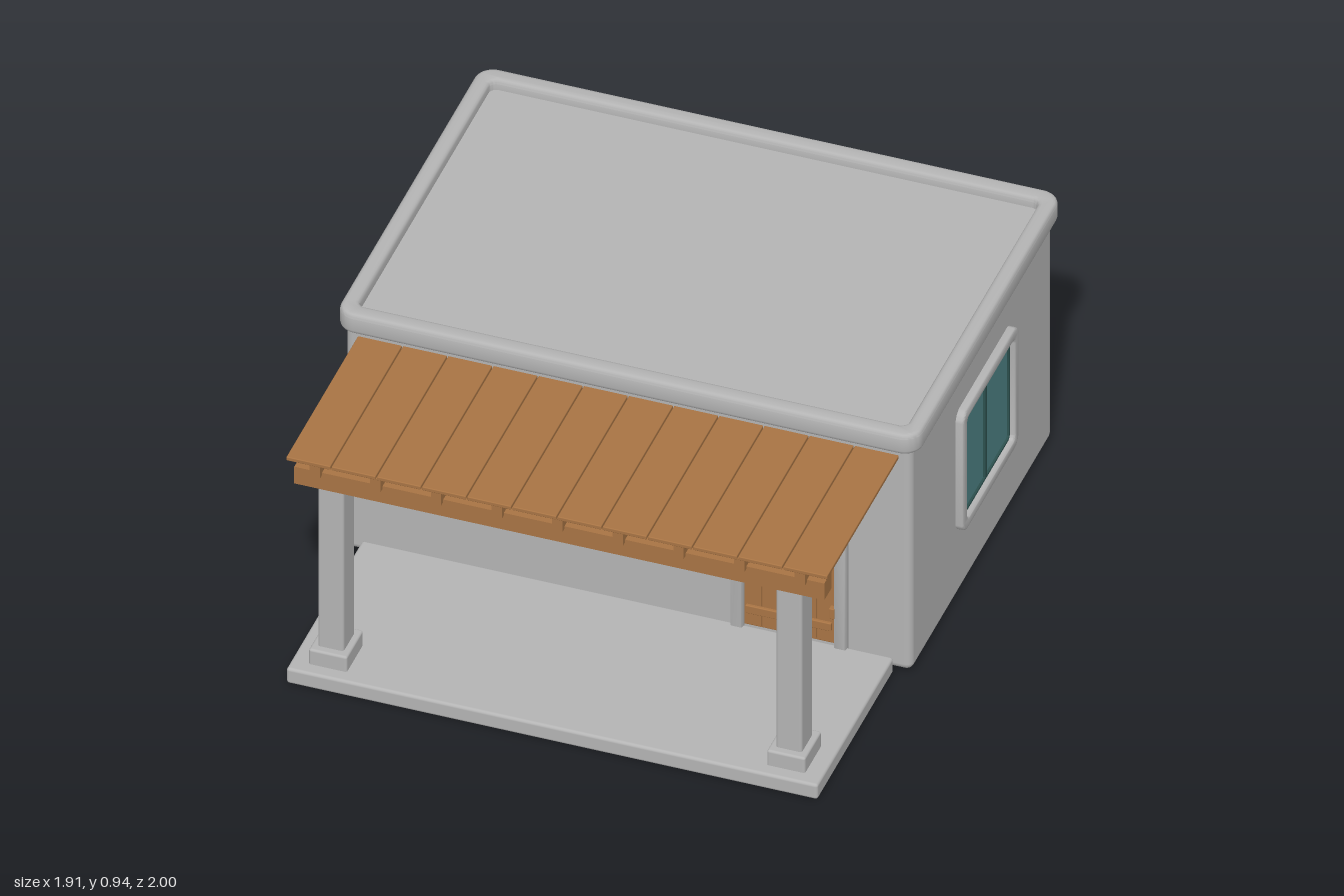
import * as THREE from 'three';
import { toCreasedNormals } from 'three/addons/utils/BufferGeometryUtils.js';
import { RoundedBoxGeometry } from 'three/addons/geometries/RoundedBoxGeometry.js';

const material = (name, color) => Object.assign(new THREE.MeshStandardMaterial({ color }), { name });

export function createModel() {
  const plaster = material('plaster', 0xb4b4b4);
  const wood = material('wood', 0xa87444);
  const glass = material('glass', 0x4e8285);
  const sash = material('window sash', 0x2c504e);
  const house = new THREE.Group();
  house.name = 'house';

  const add = (parent, name, geometry, mat) => {
    const mesh = new THREE.Mesh(geometry, mat);
    mesh.name = name;
    parent.add(mesh);
    return mesh;
  };
  // Box given by its extents on each axis, with an optional edge radius
  const box = (parent, name, mat, [x0, x1], [y0, y1], [z0, z1], r = 0) => {
    const size = [x1 - x0, y1 - y0, z1 - z0];
    const geometry = r ? new RoundedBoxGeometry(...size, 3, r) : new THREE.BoxGeometry(...size);
    const mesh = add(parent, name, geometry, mat);
    mesh.position.set((x0 + x1) / 2, (y0 + y1) / 2, (z0 + z1) / 2);
    return mesh;
  };
  const roundedRect = (path, w, h, r) => {
    const x = w / 2, y = h / 2;
    path.moveTo(-x + r, -y);
    path.lineTo(x - r, -y).absarc(x - r, -y + r, r, -Math.PI / 2, 0);
    path.lineTo(x, y - r).absarc(x - r, y - r, r, 0, Math.PI / 2);
    path.lineTo(-x + r, y).absarc(-x + r, y - r, r, Math.PI / 2, Math.PI);
    path.lineTo(-x, -y + r).absarc(-x + r, -y + r, r, Math.PI, Math.PI * 1.5);
    return path;
  };
  // Soft-edged rectangular ring, from z = 0 to z = depth
  const ring = (w, h, r, iw, ih, ir, depth, bevel) => {
    const shape = roundedRect(new THREE.Shape(), w, h, r);
    shape.holes.push(roundedRect(new THREE.Path(), iw, ih, ir));
    const geometry = new THREE.ExtrudeGeometry(shape, {
      depth: depth - 2 * bevel, bevelSize: bevel, bevelThickness: bevel,
      bevelOffset: -bevel, bevelSegments: 3, curveSegments: 5,
    });
    return toCreasedNormals(geometry.translate(0, 0, bevel), 0.7);
  };

  // Main building and flat roof with raised rim
  box(house, 'walls', plaster, [-0.93, 0.93], [0.01, 0.89], [-0.97, 0.305], 0.025);
  const rim = add(house, 'roofRim', ring(1.91, 1.33, 0.06, 1.8, 1.21, 0.025, 0.075, 0.015), plaster);
  rim.rotation.x = -Math.PI / 2;
  rim.position.set(0, 0.867, -0.335);
  box(house, 'roofDeck', plaster, [-0.91, 0.91], [0.875, 0.905], [-0.95, 0.275]);

  // Windows: frame, glass, sash border and centre mullion
  const frameGeometry = ring(0.505, 0.465, 0.04, 0.43, 0.39, 0.018, 0.045, 0.008);
  const sashGeometry = ring(0.436, 0.396, 0.02, 0.414, 0.374, 0.012, 0.01, 0.002);
  const addWindow = (name, x, z, turn) => {
    const group = new THREE.Group();
    group.name = name;
    group.position.set(x, 0.495, z);
    group.rotation.y = turn;
    add(group, 'windowFrame', frameGeometry, plaster).position.z = -0.018;
    box(group, 'pane', glass, [-0.215, 0.215], [-0.195, 0.195], [-0.002, 0.003]);
    add(group, 'sashBorder', sashGeometry, sash);
    box(group, 'mullion', sash, [-0.008, 0.008], [-0.19, 0.19], [0, 0.01]);
    house.add(group);
  };
  addWindow('frontWindow', -0.362, 0.305, 0);
  for (const side of [-1, 1]) {
    addWindow('sideWindow', side * 0.93, -0.345, side * Math.PI / 2);
    addWindow('backWindow', side * 0.475, -0.97, Math.PI);
  }

  // Door surround, open at the bottom
  const door = new THREE.Group();
  door.name = 'door';
  house.add(door);
  const arch = new THREE.Shape();
  arch.moveTo(0.342, 0.05);
  arch.lineTo(0.382, 0.05).lineTo(0.382, 0.667).lineTo(0.682, 0.667).lineTo(0.682, 0.05).lineTo(0.722, 0.05);
  arch.lineTo(0.722, 0.67).absarc(0.692, 0.672, 0.03, 0, Math.PI / 2);
  arch.lineTo(0.372, 0.702).absarc(0.372, 0.672, 0.03, Math.PI / 2, Math.PI);
  const surround = new THREE.ExtrudeGeometry(arch, {
    depth: 0.025, bevelSize: 0.006, bevelThickness: 0.006, bevelOffset: -0.006, bevelSegments: 2, curveSegments: 5,
  });
  add(door, 'doorSurround', toCreasedNormals(surround, 0.7), plaster).position.z = 0.298;

  // Plank door with batten, handle and hinges
  box(door, 'doorBack', wood, [0.382, 0.682], [0.06, 0.667], [0.3, 0.307]);
  for (let i = 0; i < 5; i++) {
    const x = 0.383 + i * 0.06;
    box(door, 'doorPlank', wood, [x, x + 0.057], [0.065, 0.665], [0.3, 0.314], 0.003);
  }
  box(door, 'doorBatten', wood, [0.39, 0.672], [0.115, 0.145], [0.31, 0.324], 0.003);
  box(door, 'doorHandle', wood, [0.42, 0.438], [0.325, 0.402], [0.31, 0.33], 0.004);
  for (const y of [0.17, 0.515]) {
    box(door, 'doorHinge', wood, [0.667, 0.685], [y, y + 0.04], [0.31, 0.332], 0.003);
  }

  // Porch slab, posts and post bases
  box(house, 'porchSlab', plaster, [-0.872, 0.872], [0, 0.058], [0.308, 1], 0.01);
  for (const x of [-0.752, 0.752]) {
    box(house, 'postBase', plaster, [x - 0.063, x + 0.063], [0.05, 0.115], [0.805, 0.955], 0.008);
    box(house, 'post', plaster, [x - 0.043, x + 0.043], [0.1, 0.755], [0.827, 0.929], 0.01);
  }

  // Awning: front beam, rafters and roof planks
  box(house, 'awningBeam', wood, [-0.87, 0.87], [0.73, 0.795], [0.868, 0.932]);
  for (let i = 0; i < 9; i++) {
    const x = -0.796 + i * 0.199;
    box(house, 'rafter', wood, [x - 0.017, x + 0.017], [0.785, 0.832], [0.3, 0.95]);
  }
  for (let i = 0; i < 12; i++) {
    const x = -0.89 + i * 0.1483;
    box(house, 'awningPlank', wood, [x + 0.002, x + 0.1463], [0.831, 0.845], [0.3, 0.955], 0.003);
  }
  return house;
}
